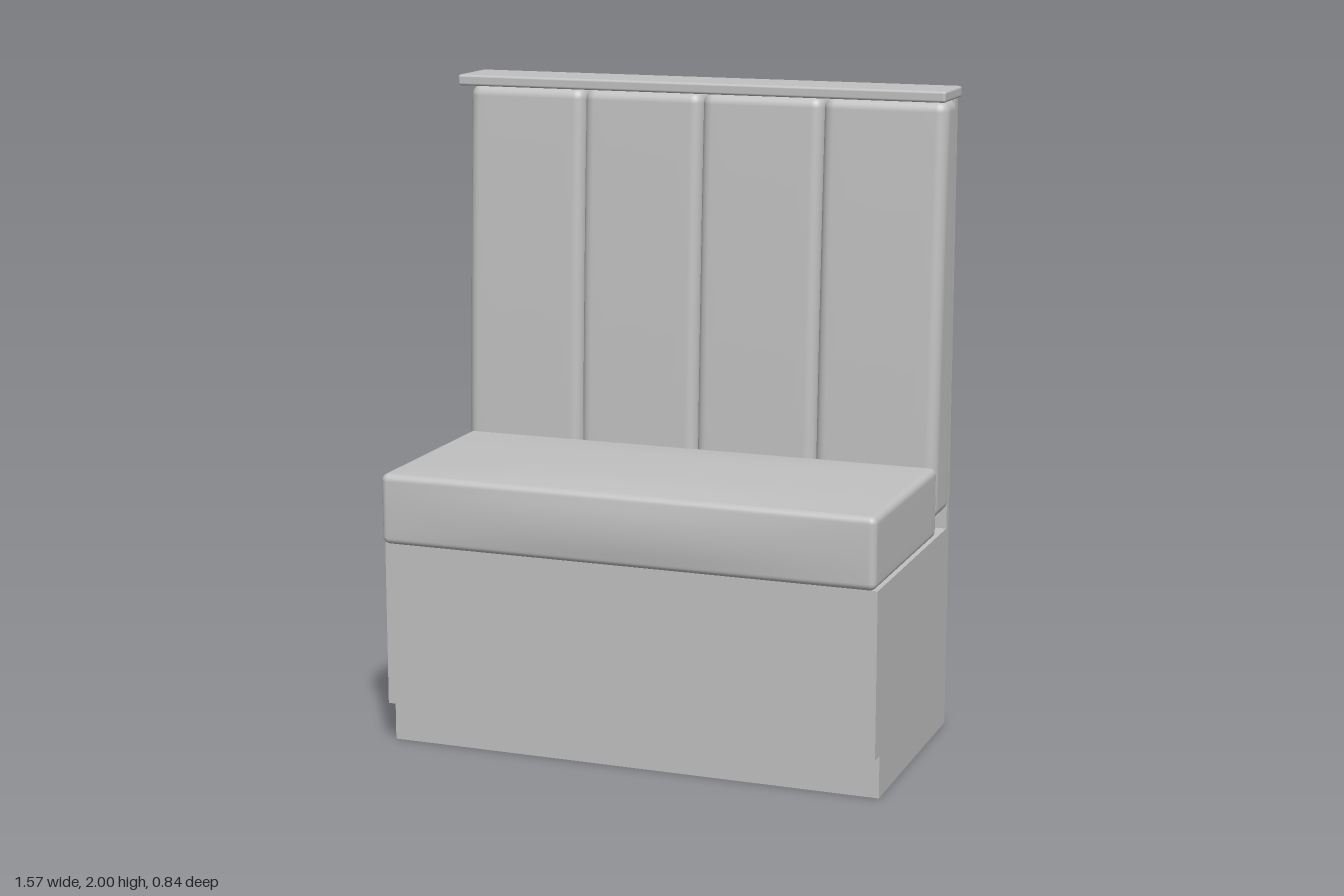
import * as THREE from 'three';
import { mergeVertices } from 'three/addons/utils/BufferGeometryUtils.js';
import { RoundedBoxGeometry } from 'three/addons/geometries/RoundedBoxGeometry.js';

const HALF_W = 0.775;      // half width of the bench
const PANEL_Z = -0.38;     // front face of the back panel

// Box with rounded edges and a fine grid, whose points are then moved by shape(p).
function paddedBox(w, h, d, r, shape) {
  const geo = new THREE.BoxGeometry(1, 1, 1, 16, 16, 16);
  const pos = geo.attributes.position;
  const half = [w / 2, h / 2, d / 2];
  const p = new THREE.Vector3(), core = new THREE.Vector3();
  for (let i = 0; i < pos.count; i++) {
    p.fromBufferAttribute(pos, i);
    for (let a = 0; a < 3; a++) {
      const t = p.getComponent(a), inner = half[a] - r;
      // the middle half of the grid spans the flat part, the rest the rounding
      const c = THREE.MathUtils.clamp(t * 4, -1, 1) * inner;
      const over = Math.max(0, Math.abs(t) - 0.25) * 4 * r;
      core.setComponent(a, c);
      p.setComponent(a, c + Math.sign(t) * over);
    }
    p.sub(core).setLength(r).add(core);
    shape(p);
    pos.setXYZ(i, p.x, p.y, p.z);
  }
  geo.deleteAttribute('uv');
  geo.deleteAttribute('normal');
  const merged = mergeVertices(geo, 1e-5);
  merged.computeVertexNormals();
  return merged;
}

export function createModel() {
  const group = new THREE.Group();
  const grey = new THREE.MeshStandardMaterial({ color: 0xc0c0c0, side: THREE.DoubleSide });
  grey.name = 'light grey';

  function add(name, geo, x, y, z, parent = group) {
    const mesh = new THREE.Mesh(geo, grey);
    mesh.name = name;
    mesh.position.set(x, y, z);
    parent.add(mesh);
    return mesh;
  }

  // Plinth: thin boards, open underneath and closed behind by the back panel
  const plinth = new THREE.Group();
  plinth.name = 'plinth';
  group.add(plinth);
  const plinthFront = 0.333, plinthH = 0.13;
  const plinthDepth = plinthFront - PANEL_Z, plinthMid = (plinthFront + PANEL_Z) / 2;
  add('plinthFront', new THREE.PlaneGeometry(HALF_W * 2, plinthH), 0, plinthH / 2, plinthFront, plinth);
  for (const s of [1, -1]) {
    const side = add(s > 0 ? 'plinthLeft' : 'plinthRight',
      new THREE.PlaneGeometry(plinthDepth, plinthH), s * HALF_W, plinthH / 2, plinthMid, plinth);
    side.rotation.y = s * Math.PI / 2;
  }

  // Seat base
  add('seatBase', new THREE.BoxGeometry(HALF_W * 2, 0.507, 0.76), 0, 0.3835, 0);

  // Back panel and the cap rail on top of it
  add('backPanel', new THREE.BoxGeometry(HALF_W * 2, 1.967, 0.027), 0, 0.9835, -0.3935);
  add('capRail', new RoundedBoxGeometry(1.57, 0.034, 0.196, 3, 0.008), 0, 1.983, -0.32);

  // Seat cushion with a crowned top and a slightly swollen front
  const seatW = HALF_W * 2, seatH = 0.218, seatD = 0.667, seatR = 0.022;
  const seat = paddedBox(seatW, seatH, seatD, seatR, (p) => {
    const u = Math.min(1, Math.abs(p.x) / (seatW / 2 - seatR));
    const v = Math.min(1, Math.abs(p.y) / (seatH / 2 - seatR));
    const w = Math.min(1, Math.abs(p.z) / (seatD / 2 - seatR));
    if (p.y > seatH / 2 - 1e-4) p.y += 0.017 * (1 - u * u) * (1 - w ** 4);
    if (p.z > seatD / 2 - 1e-4) p.z += 0.01 * (1 - u * u) * (1 - v * v);
  });
  add('seatCushion', seat, 0, 0.64 + seatH / 2, 0.0745);

  // Four upright back cushions, thinner towards the top
  const channelW = HALF_W / 2, channelH = 1.275, channelD = 0.148, channelR = 0.035;
  const channel = paddedBox(channelW, channelH, channelD + channelR, channelR, (p) => {
    p.z += (channelD - channelR) / 2;               // back of the padding at z = 0
    const t = p.y / channelH + 0.5;
    const recede = 0.054 * t - 0.02 * t * (1 - t);
    p.z -= recede * THREE.MathUtils.clamp(p.z / (channelD - channelR), 0, 1);
    p.z = Math.max(p.z, 0);                         // flat against the panel
  });
  for (let i = 0; i < 4; i++) {
    add('backCushion' + (i + 1), channel, (i - 1.5) * channelW, 0.69 + channelH / 2, PANEL_Z);
  }

  return group;
}
